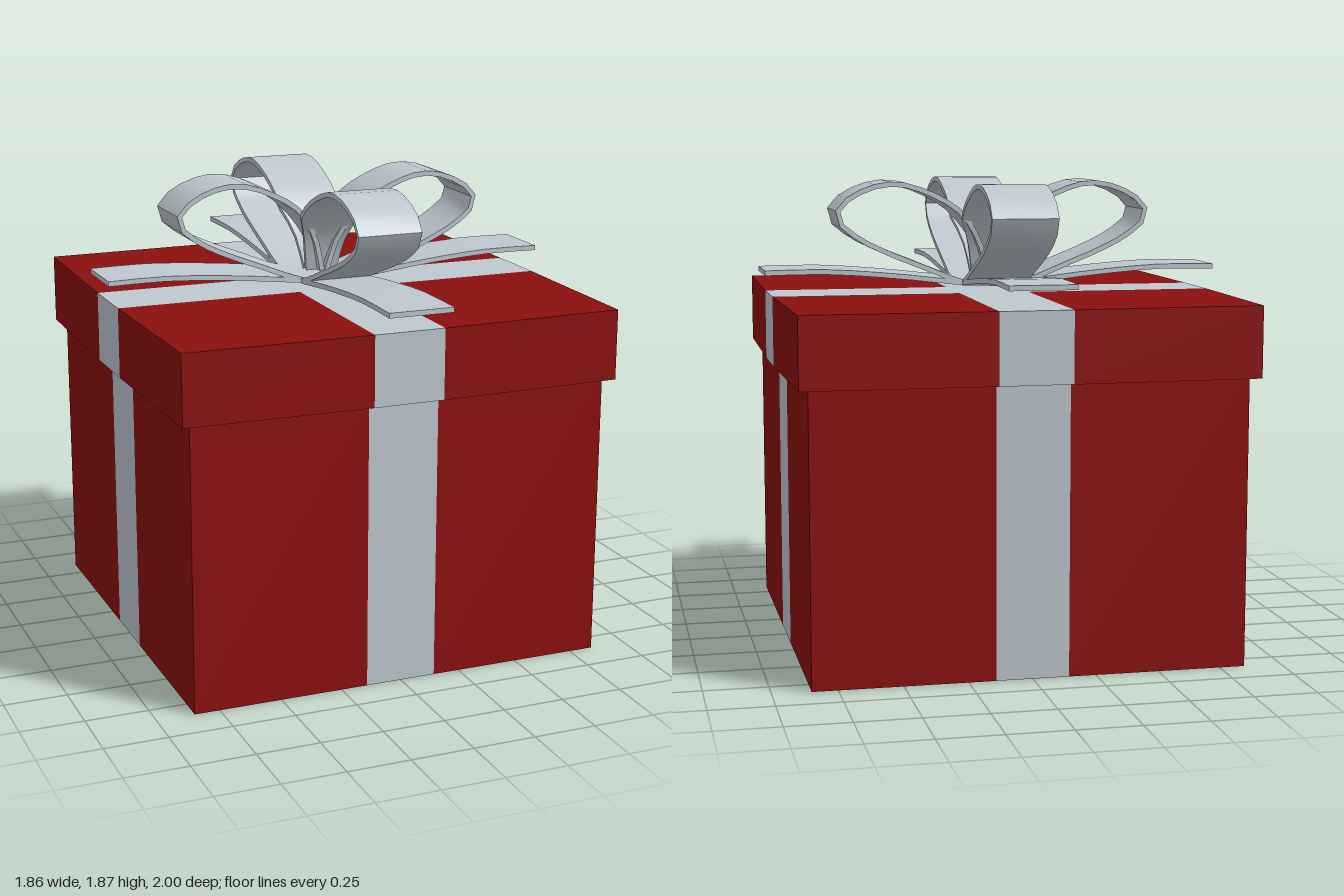
import * as THREE from 'three';
import { toCreasedNormals } from 'three/addons/utils/BufferGeometryUtils.js';

const red = new THREE.MeshStandardMaterial({ color: 0x8c0f0f });
const silver = new THREE.MeshStandardMaterial({ color: 0xbec8d0 });

// Mesh from a list of four-cornered faces (counter-clockwise from outside)
function quadMesh(quads, material, name, crease = 0.3) {
  const pos = [];
  for (const [a, b, c, d] of quads) pos.push(...a, ...b, ...c, ...a, ...c, ...d);
  const geo = new THREE.BufferGeometry();
  geo.setAttribute('position', new THREE.Float32BufferAttribute(pos, 3));
  const mesh = new THREE.Mesh(toCreasedNormals(geo, crease), material);
  mesh.name = name;
  return mesh;
}

// Box whose faces are split into red panels with a flush ribbon cross.
// corner / middle: half size at the corners and where the ribbon crosses
function wrappedBox(name, corner, middle, ribbon, y0, y1) {
  const outer = i => i === 0 || i === 3;
  const coord = (i, j) => (i < 2 ? -1 : 1) * (outer(i) ? (outer(j) ? corner : middle) : ribbon);
  const at = (i, j, y) => [coord(i, j), y, coord(j, i)];
  const panels = [], bands = [];
  for (let k = 0; k < 3; k++) {
    // Walls: the front face turned to all four sides
    let wall = [at(k, 3, y0), at(k + 1, 3, y0), at(k + 1, 3, y1), at(k, 3, y1)];
    for (let s = 0; s < 4; s++) {
      (k === 1 ? bands : panels).push(wall);
      wall = wall.map(([x, y, z]) => [z, y, -x]);
    }
    // Top and bottom
    for (let j = 0; j < 3; j++) {
      const list = k === 1 || j === 1 ? bands : panels;
      const cell = y => [at(k, j + 1, y), at(k + 1, j + 1, y), at(k + 1, j, y), at(k, j, y)];
      list.push(cell(y1), cell(y0).reverse());
    }
  }
  const group = new THREE.Group();
  group.name = name;
  group.add(quadMesh(panels, red, name + 'Panels'), quadMesh(bands, silver, name + 'Ribbon'));
  return group;
}

// Thick ribbon swept along a path of [distance, height] points
function ribbonStrip(points, steps, stretch, halfWidth, name) {
  const curve = new THREE.CatmullRomCurve3(points.map(([r, y]) => new THREE.Vector3(r * stretch, y, 0)));
  const half = 0.01;
  const sections = [];
  for (let i = 0; i <= steps; i++) {
    const p = curve.getPointAt(i / steps), t = curve.getTangentAt(i / steps);
    const w = halfWidth(p.x), nx = -t.y * half, ny = t.x * half;
    sections.push([
      [p.x + nx, p.y + ny, w], [p.x + nx, p.y + ny, -w],
      [p.x - nx, p.y - ny, -w], [p.x - nx, p.y - ny, w],
    ]);
  }
  const quads = [];
  for (let i = 0; i < steps; i++) {
    const a = sections[i], b = sections[i + 1];
    for (let k = 0; k < 4; k++) quads.push([a[k], b[k], b[(k + 1) % 4], a[(k + 1) % 4]]);
  }
  quads.push(sections[0], [...sections[steps]].reverse());
  return quadMesh(quads, silver, name, 0.9);
}

export function createModel() {
  const model = new THREE.Group();
  model.name = 'giftBox';
  model.add(wrappedBox('box', 0.85, 0.85, 0.143, 0, 1.14));
  model.add(wrappedBox('lid', 0.888, 0.902, 0.143, 1.14, 1.42));

  const loopPath = [
    [0.0, 1.45], [0.11, 1.46], [0.31, 1.535], [0.46, 1.597], [0.56, 1.65], [0.632, 1.715],
    [0.632, 1.765], [0.56, 1.822], [0.46, 1.857], [0.37, 1.858], [0.235, 1.81],
    [0.135, 1.745], [0.05, 1.62], [0.01, 1.48],
  ];
  const tailPath = [[0, 1.452], [0.12, 1.46], [0.3, 1.482], [0.5, 1.502], [0.7, 1.515], [0.93, 1.513]];

  // Ribbons are pinched towards the knot
  const pinched = r => 0.06 + 0.07 * Math.min(1, Math.max(0, r / 0.12));

  // Bow: a loop and a tail on each of the four sides
  const bow = new THREE.Group();
  bow.name = 'bow';
  for (let s = 0; s < 4; s++) {
    const alongZ = s % 2 === 1;
    const arm = new THREE.Group();
    arm.name = 'bowArm';
    arm.add(ribbonStrip(loopPath, 26, alongZ ? 1.105 : 1, pinched, 'bowLoop'));
    arm.add(ribbonStrip(tailPath, 8, alongZ ? 1.075 : 1, pinched, 'bowTail'));
    arm.rotation.y = s * Math.PI / 2;
    if (!alongZ) arm.position.z = -0.01;
    bow.add(arm);
  }
  model.add(bow);
  return model;
}
